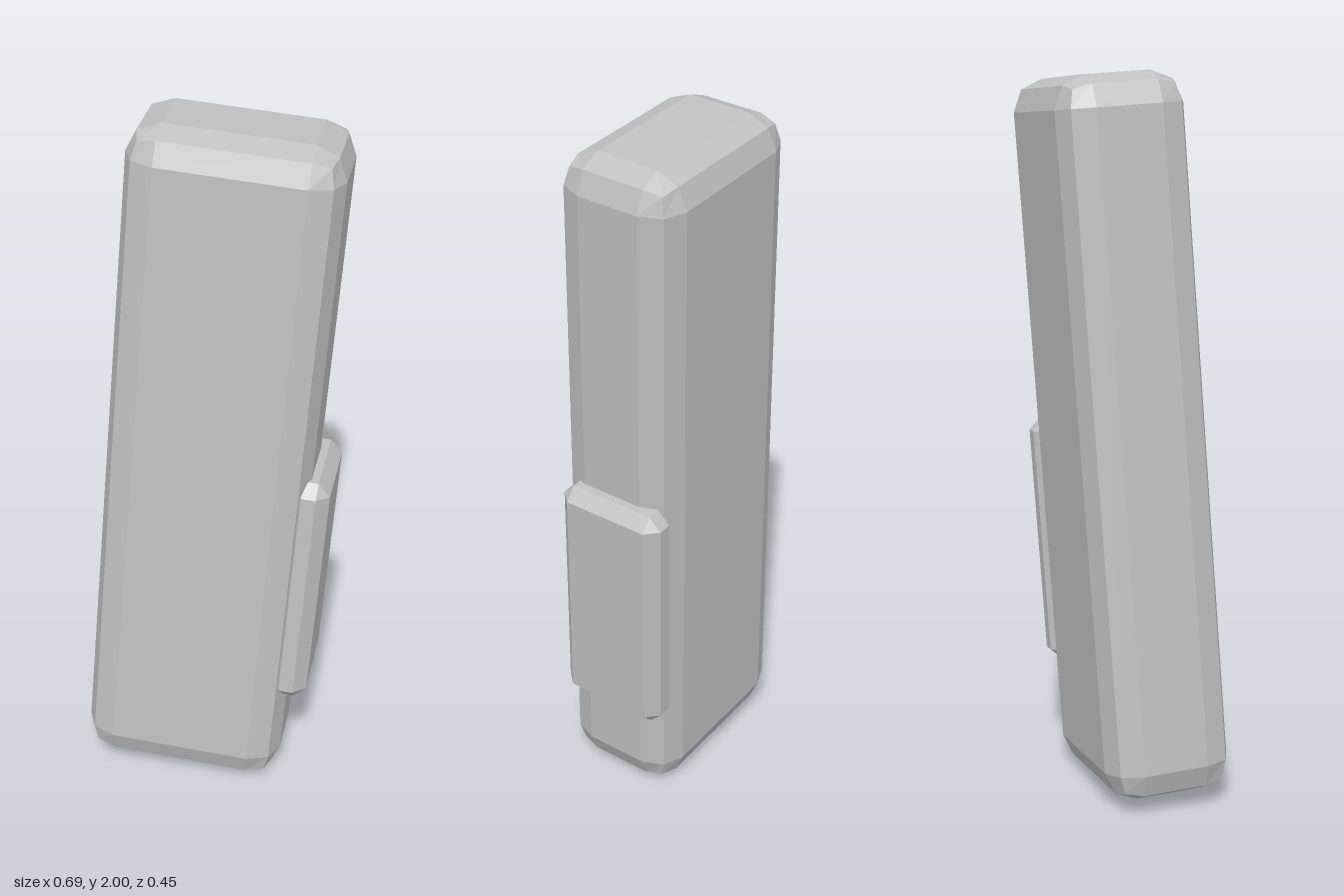
import * as THREE from 'three';
import { RoundedBoxGeometry } from 'three/addons/geometries/RoundedBoxGeometry.js';
import { ConvexGeometry } from 'three/addons/geometries/ConvexGeometry.js';

// Box with every edge cut at 45 degrees and triangular corners
function chamferedBox(w, h, d, c) {
  const points = [];
  for (const sx of [-1, 1]) for (const sy of [-1, 1]) for (const sz of [-1, 1]) {
    const x = w / 2, y = h / 2, z = d / 2;
    points.push(
      new THREE.Vector3(sx * x, sy * (y - c), sz * (z - c)),
      new THREE.Vector3(sx * (x - c), sy * y, sz * (z - c)),
      new THREE.Vector3(sx * (x - c), sy * (y - c), sz * z)
    );
  }
  return new ConvexGeometry(points);
}

export function createModel() {
  const grey = new THREE.MeshStandardMaterial({ color: 0xc0c0c0, flatShading: true });
  grey.name = 'light grey';

  // Everything leans together: 4 degrees sideways and 3 degrees back
  const slab = new THREE.Group();
  slab.name = 'leaningSlab';
  slab.position.y = 1;
  slab.rotation.set(THREE.MathUtils.degToRad(-3), 0, THREE.MathUtils.degToRad(-4));

  // Tall body, two facets around each edge
  const body = new THREE.Mesh(new RoundedBoxGeometry(0.571, 1.97, 0.356, 1, 0.0875), grey);
  body.name = 'body';
  slab.add(body);

  // Plate half sunk into the left side
  const plate = new THREE.Mesh(chamferedBox(0.11, 0.718, 0.32, 0.035), grey);
  plate.name = 'sidePlate';
  plate.position.set(0.287, -0.334, -0.016);
  slab.add(plate);

  const model = new THREE.Group();
  model.name = 'model';
  model.add(slab);
  return model;
}
